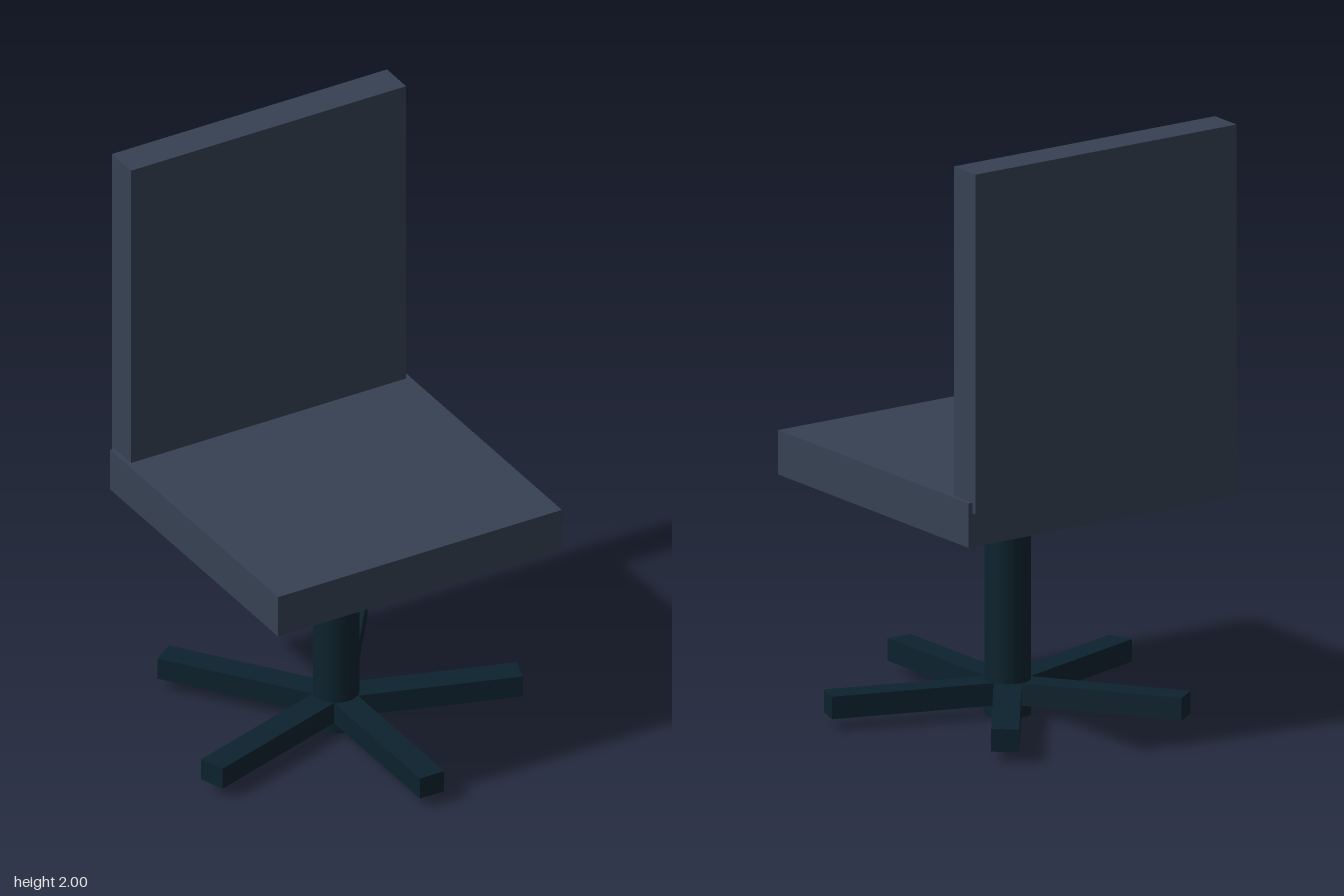
import * as THREE from 'three';

export function createModel() {
  const chair = new THREE.Group();
  chair.name = 'swivelChair';

  const upholstery = new THREE.MeshStandardMaterial({ color: 0x364153 });
  upholstery.name = 'slate upholstery';
  const metal = new THREE.MeshStandardMaterial({ color: 0x0c222d });
  metal.name = 'dark teal metal';

  const add = (parent, name, geometry, material, x, y, z) => {
    const mesh = new THREE.Mesh(geometry, material);
    mesh.name = name;
    mesh.position.set(x, y, z);
    parent.add(mesh);
    return mesh;
  };

  // Seat and upright back
  add(chair, 'seat', new THREE.BoxGeometry(1.056, 0.148, 1.056), upholstery, 0, 0.831, -0.031);
  add(chair, 'backrest', new THREE.BoxGeometry(1.024, 1.13, 0.12), upholstery, 0, 1.435, -0.515);

  // Base: central column with five radiating legs
  const base = new THREE.Group();
  base.name = 'base';
  base.position.z = -0.03;
  chair.add(base);
  add(base, 'column', new THREE.CylinderGeometry(0.075, 0.075, 0.76, 32), metal, 0, 0.38, 0);

  const legLength = 0.603;
  const legGeometry = new THREE.BoxGeometry(0.09, 0.075, legLength);
  legGeometry.translate(0, 0, legLength / 2);
  for (let i = 0; i < 5; i++) {
    const leg = add(base, `leg${i + 1}`, legGeometry, metal, 0, 0.078, 0);
    leg.rotation.y = (i * Math.PI * 2) / 5;
  }

  return chair;
}
